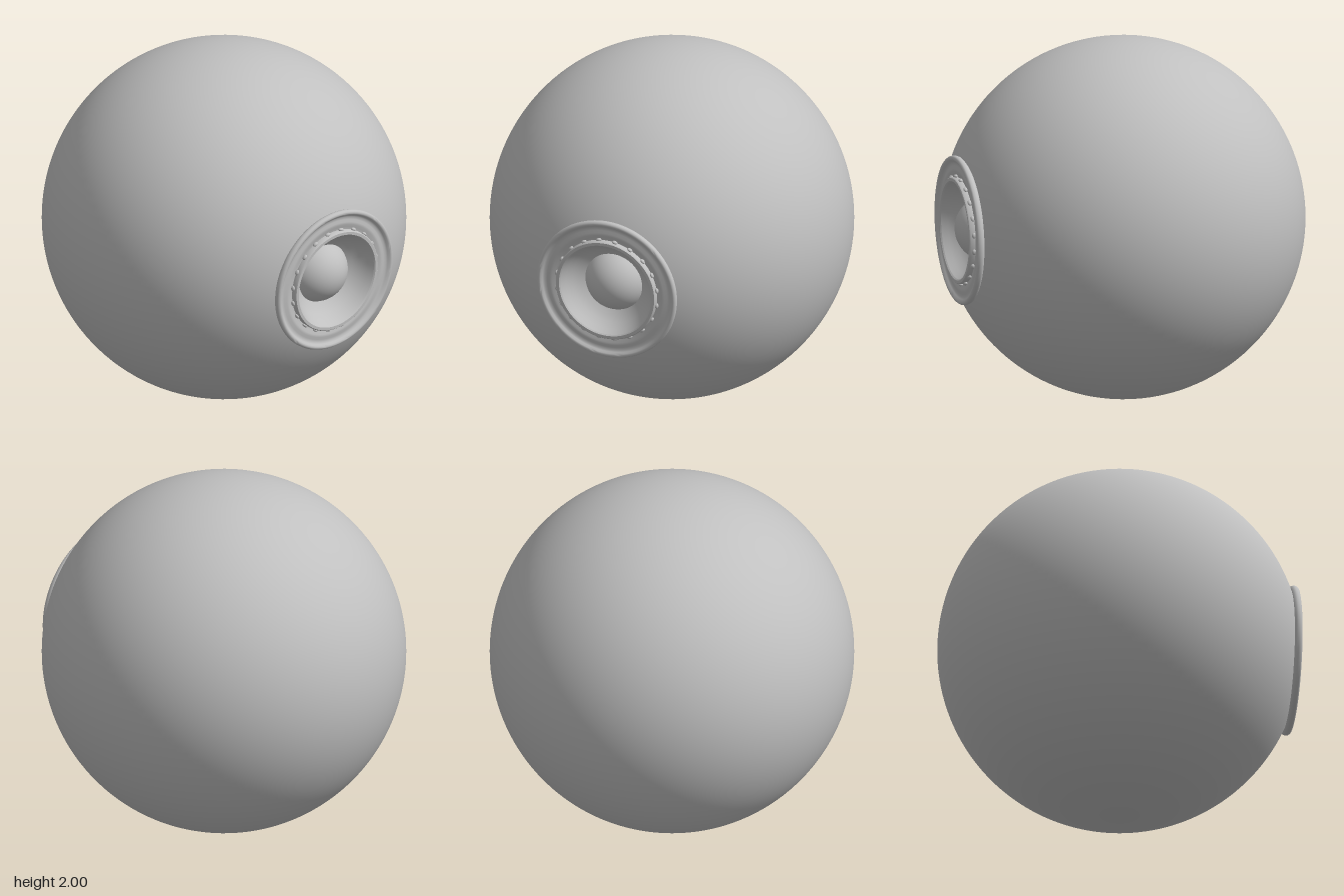
import * as THREE from 'three';
import { toCreasedNormals } from 'three/addons/utils/BufferGeometryUtils.js';

const CENTRE_Z = 0.015; // the ball sits slightly forward so the whole depth is centred
const OPENING = 0.39;   // radius of the round opening in the ball

export function createModel() {
  const model = new THREE.Group();
  model.name = 'sphericalSpeaker';
  const grey = new THREE.MeshStandardMaterial({ color: 0xc0c0c0 });
  grey.name = 'light grey';

  const add = (name, geometry, parent) => {
    const mesh = new THREE.Mesh(geometry, grey);
    mesh.name = name;
    parent.add(mesh);
    return mesh;
  };

  // Profile of [radius, z], from the outside inwards, turned around the z axis
  const turned = (profile, crease) => {
    const points = profile.map(([r, z]) => new THREE.Vector2(r, z));
    const geometry = new THREE.LatheGeometry(points, 96).rotateX(Math.PI / 2);
    return toCreasedNormals(geometry, crease);
  };

  // Ball-shaped housing, open at the front
  const start = Math.asin(OPENING);
  const ball = new THREE.SphereGeometry(1, 128, 96, 0, Math.PI * 2, start, Math.PI - start);
  add('housing', ball.rotateX(Math.PI / 2), model).position.set(0, 1, CENTRE_Z);

  const driver = new THREE.Group();
  driver.name = 'driver';
  driver.position.y = 1;
  model.add(driver);

  // Rounded outer ring with a shallow channel
  add('outerRing', turned([
    [0.385, 0.925], [0.398, 0.935], [0.408, 0.942], [0.412, 0.953], [0.411, 0.966],
    [0.405, 0.974], [0.396, 0.976], [0.388, 0.973], [0.38, 0.963], [0.37, 0.957],
    [0.355, 0.957], [0.34, 0.961], [0.325, 0.961], [0.31, 0.954], [0.29, 0.952],
  ], 0.9), driver);

  // Raised inner rim
  add('innerRim', turned([
    [0.295, 0.95], [0.295, 0.979], [0.29, 0.985], [0.274, 0.985], [0.268, 0.978],
  ], 0.7), driver);

  // Recessed cone
  add('cone', turned([
    [0.268, 0.978], [0.25, 0.944], [0.225, 0.908], [0.195, 0.878], [0.165, 0.858],
  ], 0.7), driver);

  // Domed cap in the middle of the cone
  const capRadius = 0.168, capHeight = 0.115;
  const curve = (capRadius ** 2 + capHeight ** 2) / (2 * capHeight);
  const cap = new THREE.SphereGeometry(curve, 64, 24, 0, Math.PI * 2, 0, Math.acos(1 - capHeight / curve));
  add('dustCap', cap.rotateX(Math.PI / 2), driver).position.z = 0.86 + capHeight - curve;

  // Small studs around the inner rim
  const studs = new THREE.Group();
  studs.name = 'studs';
  driver.add(studs);
  const studShape = new THREE.SphereGeometry(1, 12, 8).scale(0.009, 0.016, 0.012);
  const count = 20;
  for (let i = 0; i < count; i++) {
    const angle = ((i + 0.5) / count) * Math.PI * 2;
    const stud = add('stud', studShape, studs);
    stud.position.set(Math.cos(angle) * 0.3, Math.sin(angle) * 0.3, 0.962);
    stud.rotation.z = angle;
  }

  return model;
}
